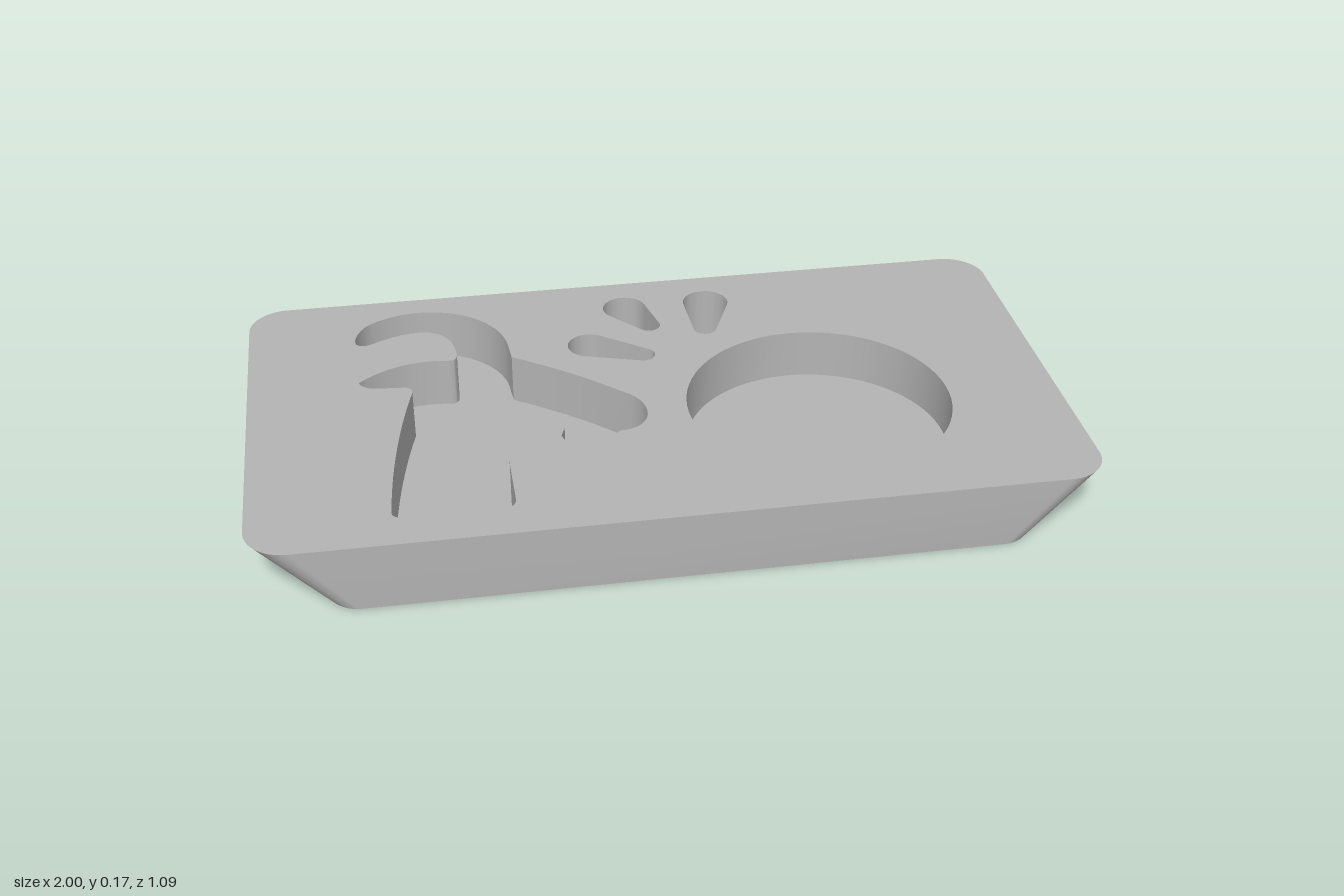
import * as THREE from 'three';
import { mergeGeometries, toCreasedNormals } from 'three/addons/utils/BufferGeometryUtils.js';

const H = 0.17, FLOOR = 0.04, TAPER = 0.835; // slab height, pocket floor level, underside length ratio

// Plan outlines use (x, -z). Returns a counter-clockwise loop without repeated points.
function outline(path, segments = 16) {
  const pts = path.getPoints(segments).filter((p, i, all) => i === 0 || p.distanceTo(all[i - 1]) > 1e-4);
  if (pts[0].distanceTo(pts[pts.length - 1]) < 1e-4) pts.pop();
  return THREE.ShapeUtils.isClockWise(pts) ? pts.reverse() : pts;
}

// Flat horizontal face with holes, facing up or down
function face(loop, holes, y, down = false) {
  const shape = new THREE.Shape(loop);
  shape.holes = holes.map((h) => new THREE.Path(h));
  const g = new THREE.ShapeGeometry(shape).rotateX(-Math.PI / 2).translate(0, y, 0);
  if (down) g.setIndex(Array.from(g.index.array).reverse());
  g.deleteAttribute('uv');
  return toCreasedNormals(g, 0.5);
}

// Band between two levels; inward bands line a hole, bottomScale slopes the ends
function wall(loop, y0, y1, inward = false, bottomScale = 1) {
  const pts = inward ? [...loop].reverse() : loop;
  const pos = [];
  pts.forEach((a, i) => {
    const b = pts[(i + 1) % pts.length];
    const a0 = [a.x * bottomScale, y0, -a.y], b0 = [b.x * bottomScale, y0, -b.y];
    const a1 = [a.x, y1, -a.y], b1 = [b.x, y1, -b.y];
    pos.push(...a0, ...b0, ...b1, ...a0, ...b1, ...a1);
  });
  const g = new THREE.BufferGeometry();
  g.setAttribute('position', new THREE.Float32BufferAttribute(pos, 3));
  return toCreasedNormals(g, 0.5);
}

function roundedRect(hx, hz, r) {
  const s = new THREE.Path();
  [[1, -1, -0.5], [1, 1, 0], [-1, 1, 0.5], [-1, -1, 1]].forEach(([sx, sz, a]) =>
    s.absarc(sx * (hx - r), sz * (hz - r), r, a * Math.PI, (a + 0.5) * Math.PI, false));
  return s;
}

// Teardrop: the hull of a large and a small circle
function teardrop(x1, v1, r1, x2, v2, r2) {
  const dir = Math.atan2(v2 - v1, x2 - x1);
  const open = Math.acos((r1 - r2) / Math.hypot(x2 - x1, v2 - v1));
  return new THREE.Path()
    .absarc(x1, v1, r1, dir + open, dir - open + Math.PI * 2, false)
    .absarc(x2, v2, r2, dir - open, dir + open, false);
}

// Horned animal silhouette
function animal() {
  const p = new THREE.Path();
  p.moveTo(-0.717, 0.329);
  p.bezierCurveTo(-0.735, 0.335, -0.73, 0.385, -0.697, 0.4255);
  p.absarc(-0.556, 0.257, 0.22, Math.PI * 0.722, 0, true); // outer horn
  p.lineTo(-0.333, 0.21);
  p.quadraticCurveTo(-0.21, 0.125, -0.144, 0.064); // forehead
  p.lineTo(-0.06, -0.016);
  p.bezierCurveTo(-0.01, -0.07, -0.02, -0.165, -0.096, -0.174); // nose
  p.quadraticCurveTo(-0.115, -0.174, -0.12, -0.19);
  p.lineTo(-0.146, -0.302);
  p.bezierCurveTo(-0.155, -0.34, -0.195, -0.345, -0.206, -0.31); // beard
  p.lineTo(-0.251, -0.174);
  p.lineTo(-0.239, -0.14);
  p.quadraticCurveTo(-0.236, -0.122, -0.257, -0.115);
  p.lineTo(-0.326, -0.085);
  p.quadraticCurveTo(-0.355, -0.08, -0.362, -0.11); // throat
  p.quadraticCurveTo(-0.385, -0.2, -0.385, -0.3);
  p.lineTo(-0.385, -0.42);
  p.quadraticCurveTo(-0.387, -0.447, -0.412, -0.447);
  p.lineTo(-0.645, -0.447); // neck base
  p.quadraticCurveTo(-0.67, -0.447, -0.668, -0.42);
  p.quadraticCurveTo(-0.655, -0.16, -0.594, 0.078);
  p.quadraticCurveTo(-0.592, 0.1, -0.61, 0.105);
  p.lineTo(-0.685, 0.112);
  p.bezierCurveTo(-0.705, 0.112, -0.73, 0.14, -0.722, 0.147); // ear
  p.quadraticCurveTo(-0.62, 0.24, -0.492, 0.217);
  p.quadraticCurveTo(-0.47, 0.215, -0.471, 0.25);
  p.bezierCurveTo(-0.475, 0.39, -0.57, 0.4, -0.69, 0.329); // inner horn
  p.quadraticCurveTo(-0.705, 0.322, -0.717, 0.329);
  return p;
}

export function createModel() {
  const model = new THREE.Group();
  model.name = 'recessedTray';
  const grey = new THREE.MeshStandardMaterial({ name: 'grey', color: 0xb4b4b4 });
  const add = (name, ...parts) => {
    const mesh = new THREE.Mesh(mergeGeometries(parts), grey);
    mesh.name = name;
    model.add(mesh);
  };

  const rim = outline(roundedRect(1, 0.547, 0.1));
  const base = rim.map((p) => new THREE.Vector2(p.x * TAPER, p.y));
  const pockets = {
    animalPocket: outline(animal(), 12),
    roundPocket: outline(new THREE.Path().absarc(0.398, -0.115, 0.328, 0, Math.PI * 2, false), 40),
  };
  const drops = [
    [-0.128, 0.236, 0.056, 0.003, 0.168, 0.03],
    [-0.01, 0.414, 0.057, 0.04, 0.315, 0.03],
    [0.21, 0.412, 0.06, 0.184, 0.275, 0.03],
  ].map((d) => outline(teardrop(...d)));

  // Slab: pierced top, sloped ends with straight long sides, underside
  add('topFace', face(rim, [...Object.values(pockets), ...drops], H));
  add('outerSides', wall(rim, 0, H, false, TAPER));
  add('underside', face(base, drops, 0, true));

  // Recesses with floors
  for (const [name, loop] of Object.entries(pockets)) {
    add(name, wall(loop, FLOOR, H, true), face(loop, [], FLOOR));
  }
  // Drainage holes right through the slab
  drops.forEach((loop, i) => add(`dropHole${i + 1}`, wall(loop, 0, H, true)));
  return model;
}
